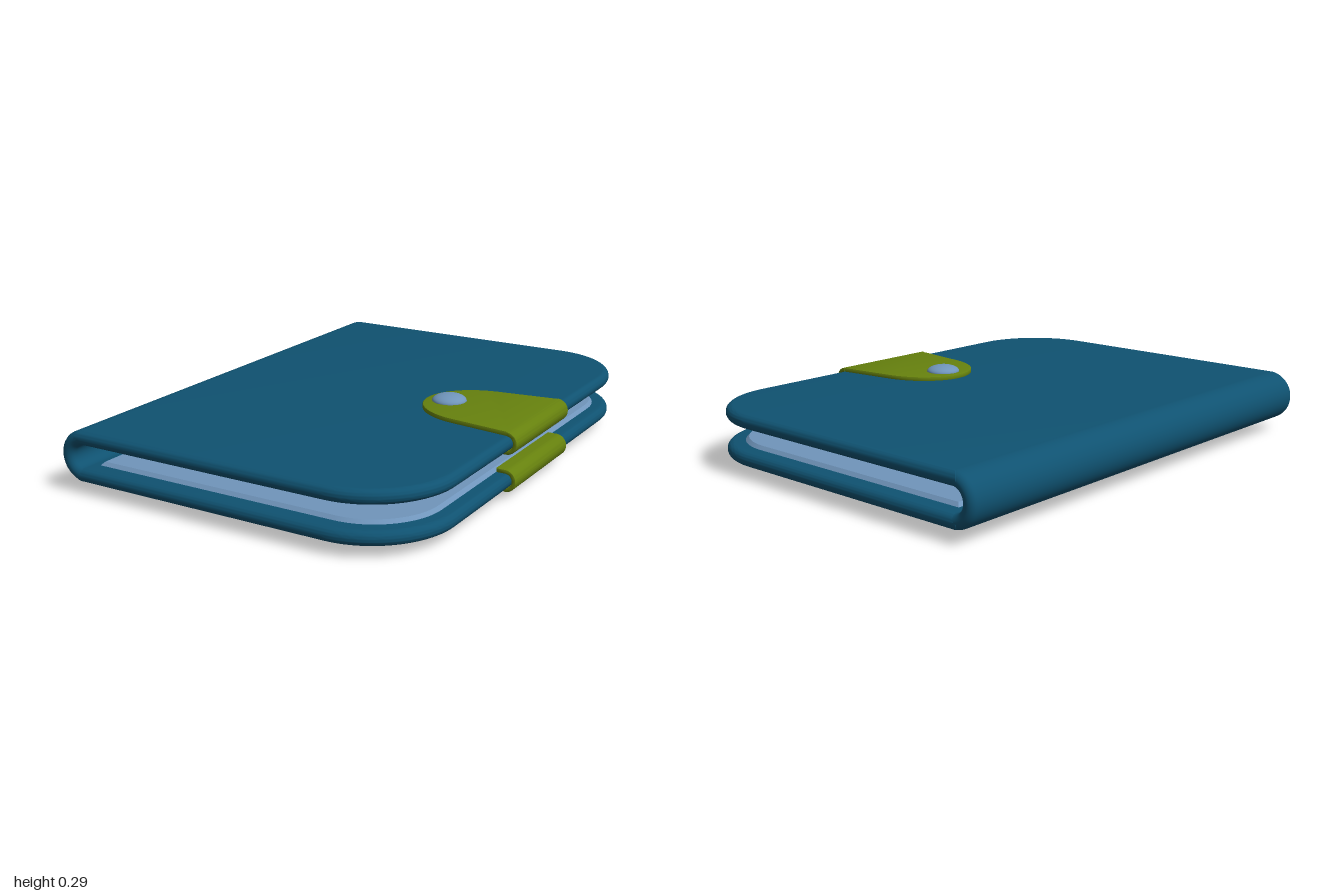
import * as THREE from 'three';
import { toCreasedNormals } from 'three/addons/utils/BufferGeometryUtils.js';

const MID = 0.1435;    // height of the symmetry plane
const R = 0.0275;      // half thickness of the cover
const COVER_Y = 0.0725; // cover centre line, measured from the symmetry plane
const HINGE_X = -0.65;

// Horizontal slab from an x-z outline, bevelled inside that outline, base at y
function slab(shape, y, thickness, bevel, segments) {
  const geometry = new THREE.ExtrudeGeometry(shape, {
    depth: thickness - 2 * bevel, curveSegments: 14,
    bevelThickness: bevel, bevelSize: bevel, bevelOffset: -bevel, bevelSegments: segments,
  });
  geometry.translate(0, 0, bevel);
  geometry.rotateX(-Math.PI / 2);
  geometry.translate(0, y, 0);
  return toCreasedNormals(geometry, 0.5);
}

// Rectangle with two rounded corners on the opening side
function leafShape(x0, x1, halfZ, radius) {
  const s = new THREE.Shape();
  s.moveTo(x0, -halfZ);
  s.lineTo(x1 - radius, -halfZ);
  s.absarc(x1 - radius, -halfZ + radius, radius, -Math.PI / 2, 0, false);
  s.lineTo(x1, halfZ - radius);
  s.absarc(x1 - radius, halfZ - radius, radius, 0, Math.PI / 2, false);
  s.lineTo(x0, halfZ);
  s.closePath();
  return s;
}

// Clasp flap, wide at the edge and round at the tip
function flapShape() {
  const s = new THREE.Shape();
  s.moveTo(0.715, -0.237);
  s.lineTo(0.715, 0.237);
  s.lineTo(0.46, 0.203);
  s.bezierCurveTo(0.34, 0.185, 0.255, 0.1, 0.255, 0);
  s.bezierCurveTo(0.255, -0.1, 0.34, -0.185, 0.46, -0.203);
  s.closePath();
  return s;
}

// Hook-shaped strip bent around the edge of the cover
function wrapGeometry() {
  const x = 0.705, outer = 0.044, q = Math.PI / 2;
  const s = new THREE.Shape();
  s.moveTo(0.67, COVER_Y - outer);
  s.lineTo(x, COVER_Y - outer);
  s.absarc(x, COVER_Y, outer, -q, q, false);
  s.lineTo(x, COVER_Y + R);
  s.absarc(x, COVER_Y, R, q, -q, true);
  s.lineTo(0.67, COVER_Y - R);
  s.closePath();
  const geometry = new THREE.ExtrudeGeometry(s, {
    depth: 0.48, curveSegments: 16,
    bevelThickness: 0.004, bevelSize: 0.004, bevelOffset: -0.004, bevelSegments: 2,
  });
  geometry.translate(0, 0, -0.24);
  geometry.scale(1, 1, 0.48 / 0.488);
  return toCreasedNormals(geometry, 0.6);
}

// Half-turn spine with rounded ends
function spineGeometry() {
  const points = [];
  for (const [side, start] of [[1, 0], [-1, Math.PI]]) {
    for (let i = 0; i <= 10; i++) {
      const a = start + (i / 10) * Math.PI;
      points.push(new THREE.Vector2(COVER_Y + R * Math.cos(a), side * (1 - R) + R * Math.sin(a)));
    }
  }
  points.push(points[0].clone());
  const geometry = new THREE.LatheGeometry(points, 32, Math.PI, Math.PI);
  geometry.rotateX(Math.PI / 2);
  return geometry;
}

export function createModel() {
  const blue = new THREE.MeshStandardMaterial({ color: 0x0f5271 });
  blue.name = 'coverBlue';
  const green = new THREE.MeshStandardMaterial({ color: 0x67820e });
  green.name = 'claspGreen';
  const steel = new THREE.MeshStandardMaterial({ color: 0x7095bb });
  steel.name = 'steelBlue';

  const model = new THREE.Group();
  model.name = 'foldingCase';
  const add = (parent, name, geometry, material) => {
    const mesh = new THREE.Mesh(geometry, material);
    mesh.name = name;
    parent.add(mesh);
    return mesh;
  };

  add(model, 'spine', spineGeometry(), blue).position.set(HINGE_X, MID, 0);

  const panel = slab(leafShape(HINGE_X - R, 0.73, 1, 0.33), COVER_Y - R, 2 * R, R - 0.0005, 8);
  const lining = slab(leafShape(-0.625, 0.672, 0.93, 0.27), 0.032, 0.036, 0.016, 1);
  const flap = slab(flapShape(), 0.097, 0.0195, 0.004, 2);
  const wrap = wrapGeometry();
  const button = new THREE.SphereGeometry(0.068, 32, 20);
  button.scale(1, 0.0275 / 0.068, 1);
  button.translate(0.35, 0.116, 0);

  // Two matching halves, the lower one turned upside down
  for (const [name, turn] of [['upperHalf', 0], ['lowerHalf', Math.PI]]) {
    const half = new THREE.Group();
    half.name = name;
    half.position.y = MID;
    half.rotation.x = turn;
    add(half, 'coverPanel', panel, blue);
    add(half, 'innerLining', lining, steel);
    add(half, 'claspFlap', flap, green);
    add(half, 'claspWrap', wrap, green);
    add(half, 'claspButton', button, steel);
    model.add(half);
  }
  return model;
}
